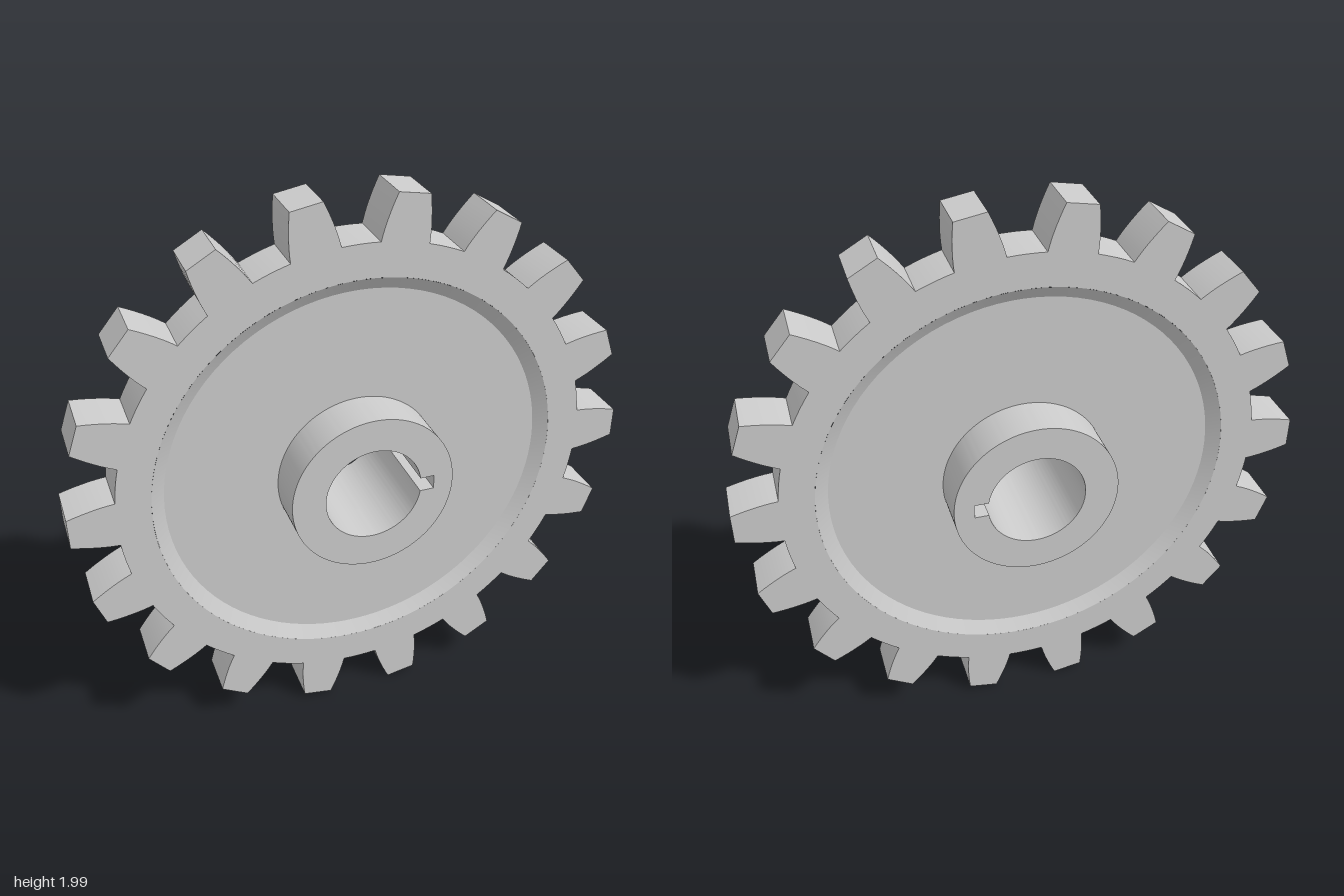
import * as THREE from 'three';
import { toCreasedNormals } from 'three/addons/utils/BufferGeometryUtils.js';

const TEETH = 18;
const RIM_Z = 0.083, WEB_Z = 0.053, HUB_Z = 0.213;
const RECESS_R = 0.727, WEB_R = 0.68, HUB_R = 0.289, BORE_R = 0.171;
const KEY_DEPTH = 0.219, KEY_HALF = 0.0255;
const ROOT_R = 0.845;

// One tooth flank pointing along +x: [distance from axis, half width], root to tip
const FLANK = [[0.841, 0.083], [0.866, 0.081], [0.892, 0.0778], [0.919, 0.0732],
  [0.946, 0.0677], [0.973, 0.0613], [1, 0.054]];

function gearOutline() {
  const tooth = [...FLANK.map(([x, h]) => [x, -h]), ...FLANK.slice().reverse()];
  const pitch = (Math.PI * 2) / TEETH;
  const rootAngle = Math.atan2(FLANK[0][1], FLANK[0][0]);
  const points = [];
  for (let i = 0; i < TEETH; i++) {
    const a = i * pitch, c = Math.cos(a), s = Math.sin(a);
    for (const [x, y] of tooth) points.push(new THREE.Vector2(x * c - y * s, x * s + y * c));
    // curved valley up to the next tooth
    for (const t of [0.25, 0.5, 0.75]) {
      const v = a + rootAngle + t * (pitch - 2 * rootAngle);
      points.push(new THREE.Vector2(ROOT_R * Math.cos(v), ROOT_R * Math.sin(v)));
    }
  }
  return points;
}

// Extrude a shape symmetrically about z = 0, keeping its corners sharp
function plate(shape, halfDepth) {
  const geo = new THREE.ExtrudeGeometry(shape, { depth: 2 * halfDepth, bevelEnabled: false, curveSegments: 96 });
  geo.translate(0, 0, -halfDepth);
  return toCreasedNormals(geo, 0.4);
}

export function createModel() {
  const group = new THREE.Group();
  group.name = 'spurGear';
  const material = new THREE.MeshStandardMaterial({ color: 0xcccccc });
  const add = (name, geo) => {
    const mesh = new THREE.Mesh(geo, material);
    mesh.name = name;
    group.add(mesh);
    return mesh;
  };

  // Toothed rim
  const outline = gearOutline();
  const rim = new THREE.Shape(outline);
  rim.holes.push(new THREE.Path().absarc(0, 0, RECESS_R, 0, Math.PI * 2, true));
  add('toothedRim', plate(rim, RIM_Z));

  // Recessed web with a sloped border, front and back
  const profile = [[RECESS_R, RIM_Z], [WEB_R, WEB_Z], [HUB_R - 0.02, WEB_Z]].map(p => new THREE.Vector2(...p));
  for (const [name, side] of [['frontWeb', 1], ['backWeb', -1]]) {
    const web = new THREE.LatheGeometry(profile, 96);
    web.rotateX(side * Math.PI / 2);
    add(name, toCreasedNormals(web, 0.4));
  }

  // Hub with a bore and keyway
  const hub = new THREE.Shape().absarc(0, 0, HUB_R, 0, Math.PI * 2, false);
  const keyAngle = Math.asin(KEY_HALF / BORE_R);
  const bore = new THREE.Path().absarc(0, 0, BORE_R, keyAngle, Math.PI * 2 - keyAngle, false);
  bore.lineTo(KEY_DEPTH, -KEY_HALF);
  bore.lineTo(KEY_DEPTH, KEY_HALF);
  bore.closePath();
  hub.holes.push(bore);
  add('hub', plate(hub, HUB_Z));

  // Stand the lowest teeth on the ground
  group.position.y = -Math.min(...outline.map(p => p.y));
  return group;
}
